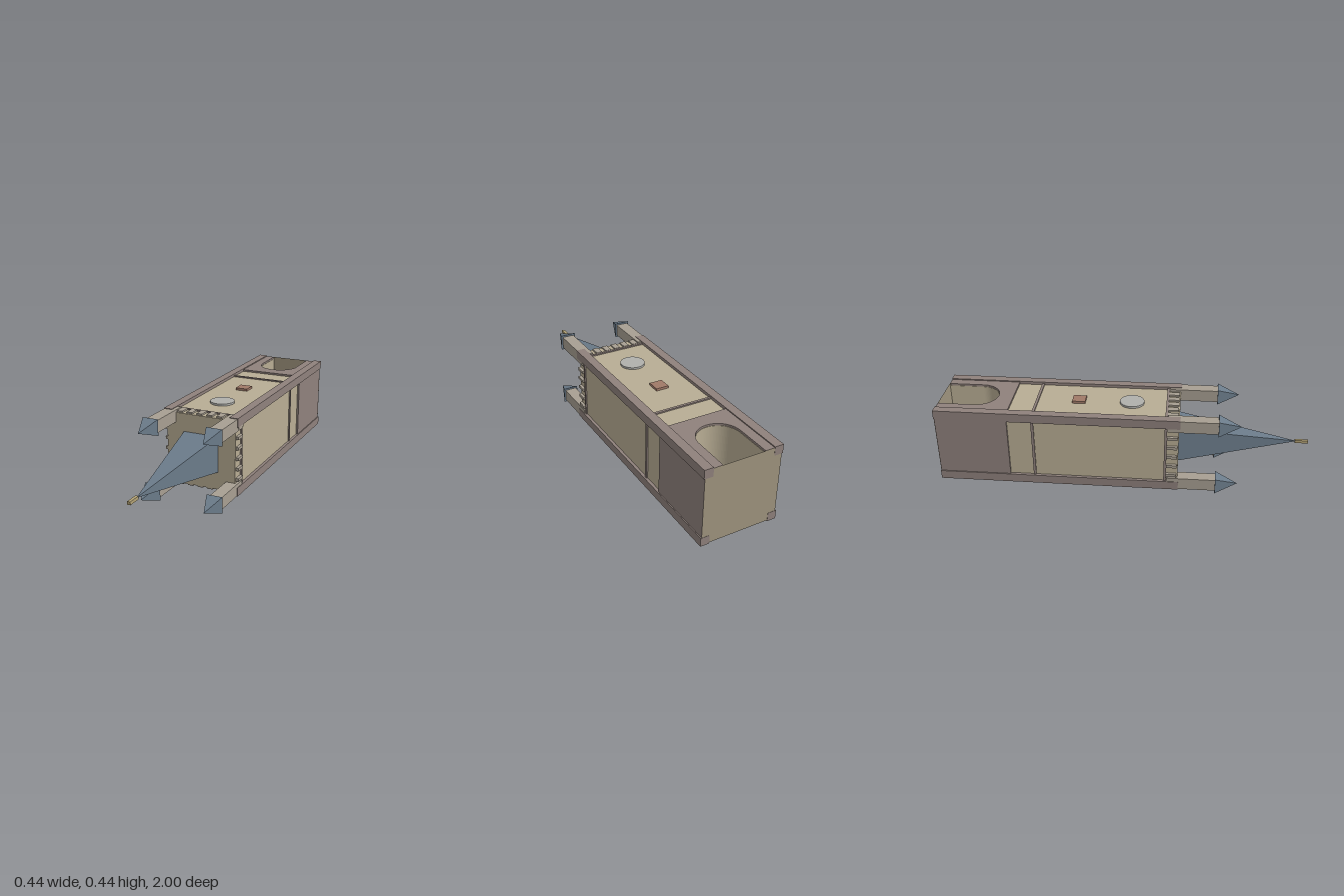
import * as THREE from 'three';

const mat = (color, side = THREE.FrontSide) =>
  new THREE.MeshStandardMaterial({ color, side, flatShading: true });

const STONE = mat(0xb8ad94), BROWN = mat(0x8f817c), TRIM = mat(0xa89f92);
const SLATE = mat(0x6b7b8a), GOLD = mat(0xb3a275), DIAL = mat(0xb0b0ac);
const PLAQUE = mat(0xa07a68), END = mat(0xa0957f, THREE.DoubleSide);

// Wall block pierced by an arch that opens at its lower end
function archBlock(halfW, depth, y0, y1, archR) {
  const spring = -0.805;
  const s = new THREE.Shape();
  s.moveTo(-halfW, y0);
  s.lineTo(-archR, y0);
  s.lineTo(-archR, spring);
  s.absarc(0, spring, archR, Math.PI, 0, true);
  s.lineTo(archR, y0);
  s.lineTo(halfW, y0);
  s.lineTo(halfW, y1);
  s.lineTo(-halfW, y1);
  s.closePath();
  const g = new THREE.ExtrudeGeometry(s, { depth, bevelEnabled: false, curveSegments: 24 });
  return g.translate(0, 0, -depth / 2);
}

// Four-sided roof with its base at the origin
function pyramid(half, h) {
  return new THREE.ConeGeometry(half * Math.SQRT2, h, 4, 1).rotateY(Math.PI / 4).translate(0, h / 2, 0);
}

export function createModel() {
  const model = new THREE.Group();
  // The tower is built upright along y, then laid down to point along +z
  const tower = new THREE.Group();
  tower.name = 'tower';
  tower.rotation.x = Math.PI / 2;
  tower.position.y = 0.22;
  model.add(tower);

  const add = (name, geo, material, x = 0, y = 0, z = 0) => {
    const m = new THREE.Mesh(geo, material);
    m.name = name;
    m.position.set(x, y, z);
    tower.add(m);
    return m;
  };
  const box = (name, w, y0, y1, d, material, x = 0, z = 0) =>
    add(name, new THREE.BoxGeometry(w, y1 - y0, d), material, x, (y0 + y1) / 2, z);

  // Body and arched base
  add('body', archBlock(0.196, 0.392, -0.998, 0.3, 0.112), STONE);
  add('archedBase', archBlock(0.207, 0.414, -0.998, -0.61, 0.114), BROWN);
  add('baseEnd', new THREE.PlaneGeometry(0.414, 0.414).rotateX(Math.PI / 2), END, 0, -0.999, 0);

  // Horizontal bands around the shaft
  box('lowerBand', 0.406, -0.482, -0.468, 0.406, BROWN);
  box('upperBand', 0.406, 0.225, 0.238, 0.406, BROWN);

  // Corner posts with turrets
  for (const sx of [-1, 1]) for (const sz of [-1, 1]) {
    box('cornerPost', 0.048, -1, 0.305, 0.048, BROWN, sx * 0.1885, sz * 0.1885);
    box('turret', 0.066, 0.24, 0.505, 0.066, TRIM, sx * 0.1765, sz * 0.1765);
    add('turretRoof', pyramid(0.0433, 0.12), SLATE, sx * 0.1765, 0.503, sz * 0.1765);
  }

  // Battlement teeth on all four sides
  for (let i = 0; i < 6; i++) {
    const p = -0.125 + i * 0.057;
    for (const s of [-1, 1]) {
      box('battlement', 0.032, 0.238, 0.294, 0.02, TRIM, p, s * 0.195);
      box('battlement', 0.024, 0.238, 0.294, 0.016, TRIM, s * 0.2, -p);
    }
  }

  // Clock faces on two opposite sides, and a plaque on one
  for (const s of [-1, 1]) {
    add('clockFace', new THREE.CylinderGeometry(0.066, 0.066, 0.014, 32).rotateX(Math.PI / 2),
      DIAL, 0, 0.04, s * 0.2);
  }
  box('plaque', 0.07, -0.283, -0.212, 0.018, PLAQUE, 0, -0.2);

  // Main spire and finial
  add('spire', pyramid(0.098, 0.64), SLATE, 0, 0.3, 0);
  box('finial', 0.016, 0.93, 1, 0.016, GOLD);

  return model;
}
